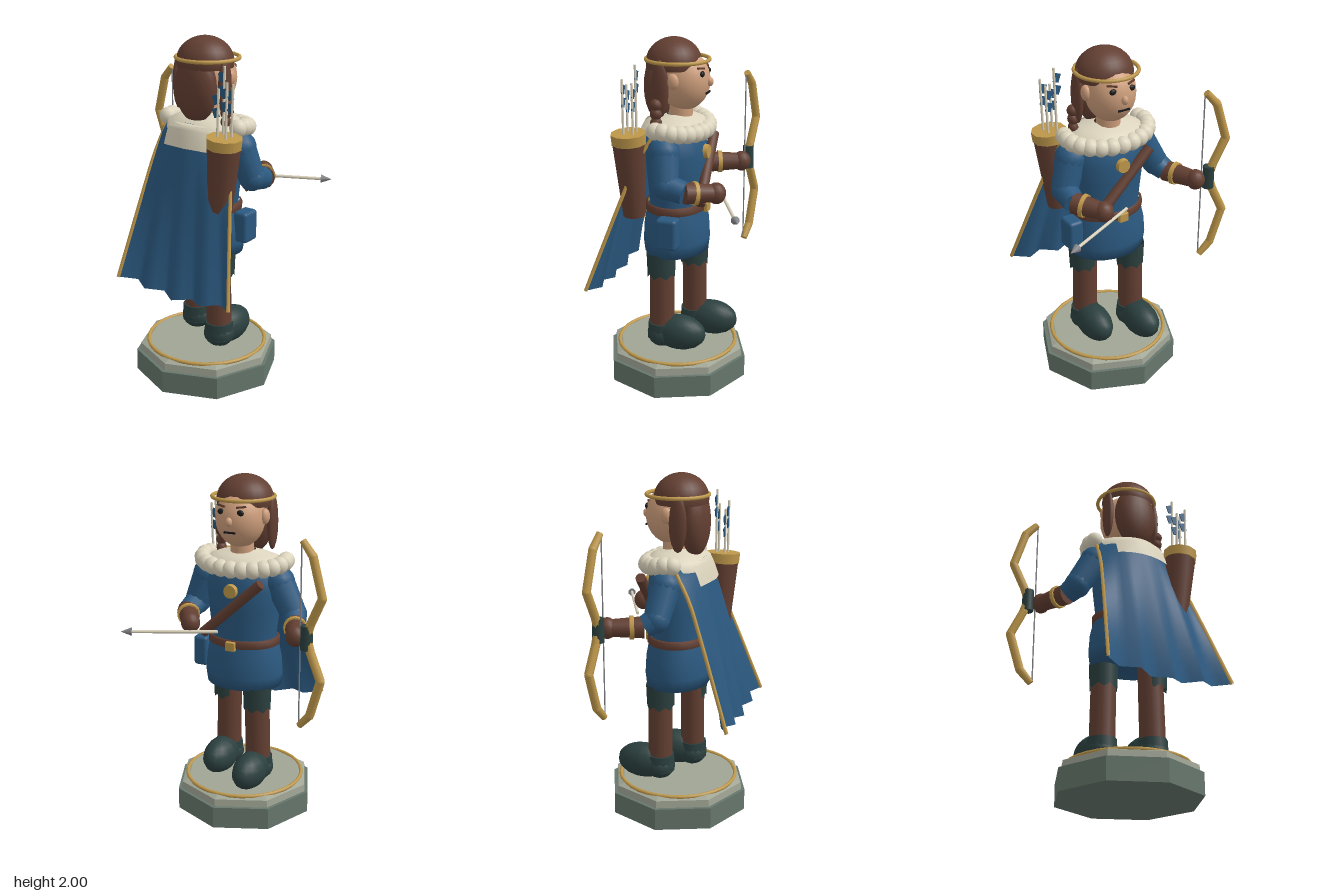
import * as THREE from 'three';
import { ParametricGeometry } from 'three/addons/geometries/ParametricGeometry.js';
import { RoundedBoxGeometry } from 'three/addons/geometries/RoundedBoxGeometry.js';

const V = (x, y, z) => new THREE.Vector3(x, y, z);
const material = (name, color, side = THREE.FrontSide) => {
  const m = new THREE.MeshStandardMaterial({ color, side });
  m.name = name;
  return m;
};

export function createModel() {
  const blue = material('blue cloth', 0x2b5980, THREE.DoubleSide);
  const brown = material('brown', 0x633f32);
  const skin = material('skin', 0xcf9f7c);
  const cream = material('cream fur', 0xdcd4bd, THREE.DoubleSide);
  const gold = material('gold', 0xbf984b);
  const green = material('dark green leather', 0x2b403f, THREE.DoubleSide);
  const stone = material('light stone', 0xa0a595);
  const slate = material('dark stone', 0x66776c);
  const steel = material('steel', 0x85868a);
  const black = material('black', 0x1a1a1c);

  const model = new THREE.Group();
  const CX = 0.05, CZ = 0.04; // body axis

  const add = (name, geo, mat, x = 0, y = 0, z = 0) => {
    const m = new THREE.Mesh(geo, mat);
    m.name = name;
    m.position.set(x, y, z);
    model.add(m);
    return m;
  };
  const faceted = (geo) => {
    const g = geo.toNonIndexed();
    g.computeVertexNormals();
    return g;
  };
  const ball = (name, mat, x, y, z, rx, ry = rx, rz = rx, seg = 16) => {
    const m = add(name, new THREE.SphereGeometry(1, seg, Math.max(8, seg * 0.6 | 0)), mat, x, y, z);
    m.scale.set(rx, ry, rz);
    return m;
  };
  // tapered cylinder running from a to b
  const limb = (name, mat, a, b, ra, rb, seg = 12) => {
    const d = b.clone().sub(a);
    const m = add(name, new THREE.CylinderGeometry(rb, ra, d.length(), seg), mat);
    m.position.copy(a).lerp(b, 0.5);
    m.quaternion.setFromUnitVectors(V(0, 1, 0), d.normalize());
    return m;
  };
  // elliptical body of revolution about the body axis
  const turned = (name, mat, profile, depth) => {
    const pts = profile.map(([r, y]) => new THREE.Vector2(r, y));
    const m = add(name, new THREE.LatheGeometry(pts, 24), mat, CX, 0, CZ);
    m.scale.z = depth;
    return m;
  };
  const ring = (name, R, r, x, y, z) => {
    const m = add(name, new THREE.TorusGeometry(R, r, 8, 32), gold, x, y, z);
    m.rotation.x = Math.PI / 2;
    return m;
  };

  // Octagonal pedestal
  const tier = (name, mat, rTop, rBot, y0, y1) => add(name,
    faceted(new THREE.CylinderGeometry(rTop, rBot, y1 - y0, 8)), mat, CX, (y0 + y1) / 2, CZ);
  tier('pedestalBase', slate, 0.42, 0.42, 0, 0.13);
  tier('pedestalStep', stone, 0.395, 0.4, 0.13, 0.172);
  tier('pedestalTop', stone, 0.355, 0.395, 0.172, 0.188);
  ring('pedestalRing', 0.347, 0.011, CX, 0.186, CZ);

  // Legs and boots
  for (const [x, z] of [[-0.075, -0.03], [0.18, 0.09]]) {
    limb('leg', brown, V(x, 0.3, z), V(x + (0.05 - x) * 0.08, 0.8, z), 0.074, 0.072);
    const cuffGeo = new THREE.CylinderGeometry(0.085, 0.08, 0.15, 14, 1, true);
    const p = cuffGeo.attributes.position;
    for (let i = 0; i < p.count; i++) if (p.getY(i) < 0 && i % 2) p.setY(i, -0.05);
    add('bootCuff', cuffGeo, green, x + 0.008, 0.715, z);
    limb('bootAnkle', green, V(x, 0.25, z), V(x, 0.35, z), 0.088, 0.083);
    ball('bootHeel', green, x, 0.275, z, 0.092, 0.08, 0.088);
    const foot = new THREE.SphereGeometry(1, 16, 12);
    const f = foot.attributes.position;
    for (let i = 0; i < f.count; i++) f.setY(i, Math.max(f.getY(i), -0.85)); // flat sole
    foot.computeVertexNormals();
    add('bootFoot', foot, green, x, 0.292, z - 0.105).scale.set(0.095, 0.106, 0.16);
  }

  // Tunic, belt, pouch
  turned('tunicSkirt', blue, [[0, 0.78], [0.225, 0.78], [0.235, 0.85], [0.228, 0.95], [0.205, 1.05]], 0.8);
  turned('tunicChest', blue, [[0.195, 1.04], [0.2, 1.12], [0.215, 1.25], [0.225, 1.36],
    [0.21, 1.45], [0.16, 1.52], [0.07, 1.55]], 0.76);
  turned('belt', brown, [[0.2, 1.025], [0.216, 1.032], [0.216, 1.07], [0.2, 1.077]], 0.81);
  add('beltBuckle', new RoundedBoxGeometry(0.06, 0.055, 0.025, 2, 0.006), gold, CX, 1.045, -0.14);
  add('pouch', new RoundedBoxGeometry(0.09, 0.18, 0.12, 3, 0.02), blue, 0.3, 0.95, 0.012);
  limb('chestStrap', brown, V(-0.13, 1.43, -0.125), V(0.22, 1.11, -0.15), 0.03, 0.03, 10);
  limb('brooch', gold, V(CX, 1.37, -0.12), V(CX, 1.37, -0.15), 0.042, 0.038, 16);

  // Cape: smooth at the shoulders, folded towards the hem
  const capePoint = (u, t, out) => {
    const fold = Math.abs(((u + 1) * 4 + 1) % 2 - 1);
    const k = Math.pow(t, 0.7);
    const top = 0.2 - 0.11 * u * u;
    const hem = 0.375 + 0.06 * (1 - fold) * t;
    const yTop = 1.54 - 0.03 * u * u, yHem = 0.585 + 0.04 * Math.abs(u);
    return out.set(
      (CX + 0.235 * u) * (1 - t) + (0.1 + 0.39 * u) * t,
      yTop + (yHem - yTop) * t,
      top + (hem - top) * k);
  };
  add('cape', new ParametricGeometry((u, v, o) => capePoint(u * 2 - 1, v, o), 16, 14), blue);
  for (const s of [-1, 1]) {
    const pts = [0, 0.2, 0.4, 0.6, 0.8, 1].map((t) => capePoint(s, t, V(0, 0, 0)));
    add('capeTrim', new THREE.TubeGeometry(new THREE.CatmullRomCurve3(pts), 16, 0.011, 6), gold);
  }

  // Fur collar: yoke, back panel and a ring of tufts
  turned('collarYoke', cream, [[0.245, 1.48], [0.23, 1.53], [0.15, 1.56], [0.07, 1.58]], 0.78);
  add('collarBack', new ParametricGeometry((u, v, o) => {
    capePoint((u * 2 - 1) * (0.68 - 0.02 * v), v * 0.135, o);
    o.z += 0.014;
  }, 12, 4), cream);
  for (let i = 0; i < 15; i++) {
    const a = Math.PI * (-0.08 + 1.16 * i / 14);
    ball('collarTuft', cream, CX + Math.cos(a) * 0.25, 1.525 - 0.03 * Math.max(0, Math.sin(a)),
      CZ - Math.sin(a) * 0.17, 0.05, 0.05, 0.05, 12);
  }

  // Head and face
  limb('neck', skin, V(CX, 1.5, 0.02), V(CX, 1.68, 0.01), 0.07, 0.065);
  ball('head', skin, CX, 1.765, -0.005, 0.14, 0.165, 0.145, 24);
  ball('nose', skin, CX, 1.765, -0.15, 0.02, 0.026, 0.022, 10);
  add('mouth', new THREE.BoxGeometry(0.07, 0.01, 0.008), black, CX, 1.705, -0.142);
  for (const s of [-1, 1]) {
    ball('ear', skin, CX + s * 0.142, 1.78, 0.015, 0.025, 0.045, 0.035, 12);
    ball('eye', black, CX + s * 0.058, 1.815, -0.126, 0.022, 0.017, 0.012, 12);
    const brow = add('eyebrow', new THREE.BoxGeometry(0.055, 0.01, 0.009), brown, CX + s * 0.06, 1.846, -0.119);
    brow.rotation.set(0, s * -0.4, s * 0.1);
    ball('sideLock', brown, CX + s * 0.155, 1.74, 0.085, 0.027, 0.16, 0.052, 12);
  }

  // Hair and circlet
  const dome = add('hairDome', new THREE.SphereGeometry(1, 24, 10, 0, Math.PI * 2, 0, Math.PI * 0.56), brown, CX, 1.86, 0.055);
  dome.scale.set(0.163, 0.14, 0.155);
  ball('backHair', brown, CX, 1.73, 0.14, 0.132, 0.195, 0.08, 20);
  for (let i = 0; i < 3; i++) ball('braid', brown, 0.225, 1.655 - i * 0.05, 0.1, 0.034 - i * 0.003, 0.034, 0.034, 10);
  ring('circlet', 0.175, 0.011, CX, 1.88, 0.033);

  // Arms: shoulder, elbow, sleeve end, hand
  const arm = (shoulder, elbow, cuff, hand) => {
    ball('shoulder', blue, shoulder.x, shoulder.y, shoulder.z, 0.09);
    limb('upperSleeve', blue, shoulder, elbow, 0.088, 0.075);
    ball('elbow', blue, elbow.x, elbow.y, elbow.z, 0.076);
    limb('lowerSleeve', blue, elbow, cuff, 0.073, 0.062);
    limb('bracer', brown, cuff, hand, 0.062, 0.048);
    const band = cuff.clone().lerp(hand, 0.28), end = cuff.clone().lerp(hand, 0.4);
    limb('bracerBand', gold, band, end, 0.067, 0.065, 16);
    ball('glove', brown, hand.x, hand.y, hand.z, 0.055, 0.06, 0.055);
  };
  arm(V(-0.17, 1.41, 0.04), V(-0.27, 1.24, 0.02), V(-0.305, 1.2, -0.04), V(-0.385, 1.2, -0.225));
  arm(V(0.28, 1.41, 0.04), V(0.34, 1.24, 0.01), V(0.345, 1.21, -0.1), V(0.245, 1.195, -0.25));

  // Bow, built from straight segments
  const half = [[-0.46, 1.21], [-0.485, 1.29], [-0.553, 1.44], [-0.49, 1.655], [-0.425, 1.73]];
  const bowZ = (x) => -0.235 + (x + 0.41) * 0.23;
  for (const s of [-1, 1]) {
    const pts = half.map(([x, y]) => V(x, 1.21 + s * (y - 1.21), bowZ(x)));
    for (let i = 0; i < 4; i++) {
      limb('bowLimb', gold, pts[i], pts[i + 1], 0.025, i === 3 ? 0.02 : 0.025, 8);
      if (i) ball('bowJoint', gold, pts[i].x, pts[i].y, pts[i].z, 0.025, 0.025, 0.025, 8);
    }
  }
  limb('bowGrip', green, V(-0.46, 1.14, bowZ(-0.46)), V(-0.46, 1.275, bowZ(-0.46)), 0.034, 0.034, 10);
  limb('bowString', steel, V(-0.418, 0.7, -0.235), V(-0.418, 1.72, -0.235), 0.004, 0.004, 6);

  // Arrow held in the hand
  const tail = V(0.085, 1.155, -0.227), tip = V(0.575, 1.155, -0.458);
  const neck = tail.clone().lerp(tip, 0.89);
  limb('arrowShaft', cream, tail, neck, 0.009, 0.009, 8);
  limb('arrowHead', steel, neck, tip, 0.024, 0.001, 8);

  // Quiver with four arrows
  const qTop = V(0.31, 1.51, 0.23), qBase = V(0.27, 1.03, 0.217);
  const rimBase = qBase.clone().lerp(qTop, 0.88);
  limb('quiver', brown, qBase, rimBase, 0.064, 0.092);
  limb('quiverRim', gold, rimBase, qTop, 0.097, 0.1, 10);
  for (const [x, z, top] of [[0.275, 0.195, 1.88], [0.33, 0.195, 1.79], [0.275, 0.247, 1.77], [0.332, 0.25, 1.81]]) {
    limb('quiverArrow', cream, V(x, 1.49, z), V(x + 0.008, top, z), 0.007, 0.007, 6);
    for (const y of [top - 0.06, top - 0.13]) {
      const vane = add('fletching', new THREE.BoxGeometry(0.034, 0.05, 0.006), blue, x - 0.01, y, z);
      vane.rotation.z = 0.35;
    }
  }

  return model;
}
